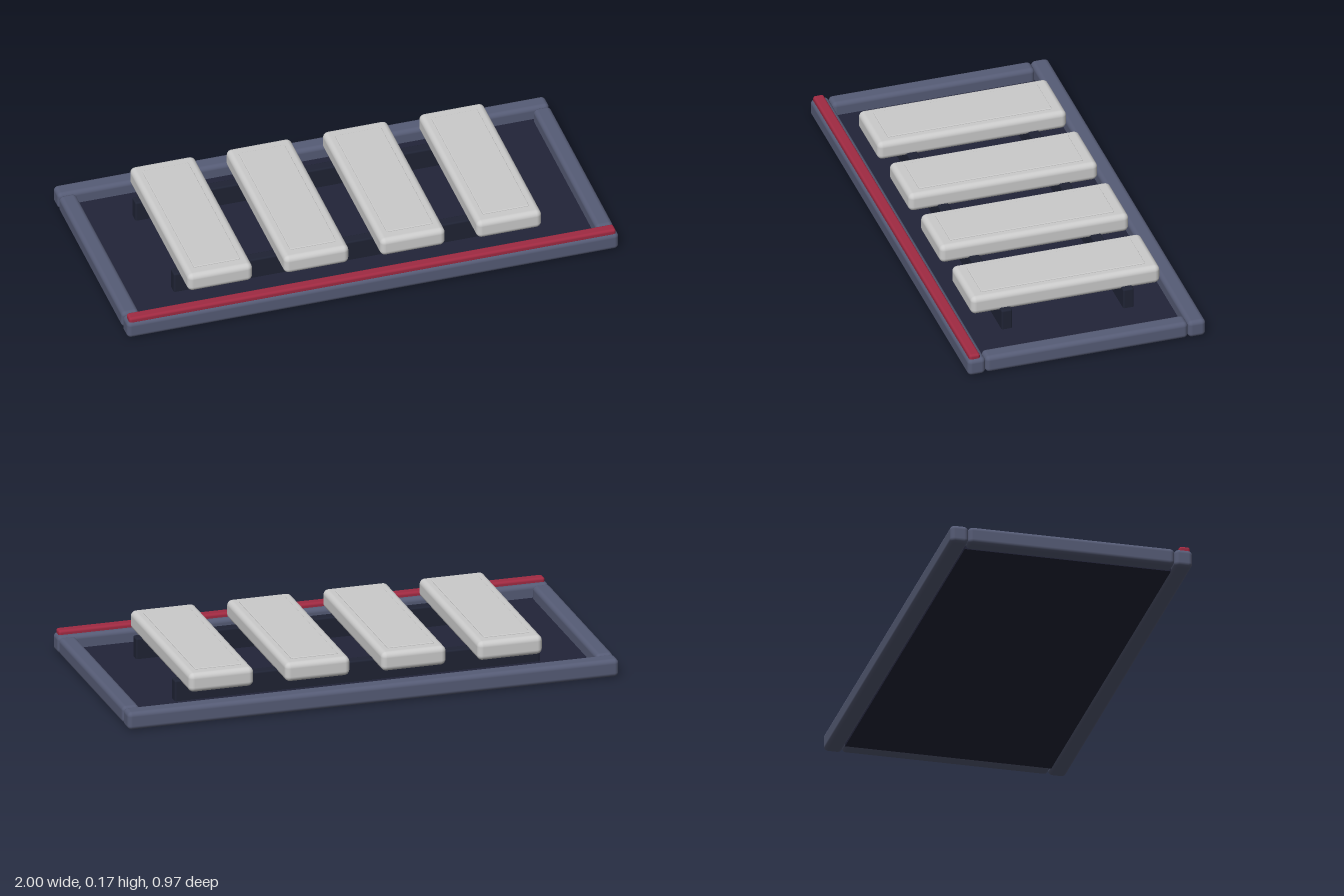
import * as THREE from 'three';
import { RoundedBoxGeometry } from 'three/addons/geometries/RoundedBoxGeometry.js';

const material = (color) => new THREE.MeshStandardMaterial({ color });

// Rounded box given by its extents on each axis
function block(name, [x0, x1], [y0, y1], [z0, z1], radius, mat) {
  const geometry = new RoundedBoxGeometry(x1 - x0, y1 - y0, z1 - z0, 4, radius);
  const mesh = new THREE.Mesh(geometry, mat);
  mesh.name = name;
  mesh.position.set((x0 + x1) / 2, (y0 + y1) / 2, (z0 + z1) / 2);
  return mesh;
}

export function createModel() {
  const model = new THREE.Group();
  model.name = 'padTray';
  const frame = material(0x565c76);
  const dark = material(0x222438);
  const railDark = material(0x1f2334);
  const red = material(0xa02a42);
  const grey = material(0xcccccc);

  // Floor panel inside the frame
  const floor = new THREE.Mesh(new THREE.BoxGeometry(1.87, 0.017, 0.826), dark);
  floor.name = 'floorPanel';
  floor.position.y = 0.0115;
  model.add(floor);

  // Frame bars
  model.add(block('frontBar', [-1, 1], [0, 0.073], [0.413, 0.485], 0.018, frame));
  model.add(block('backBar', [-1, 1], [0, 0.073], [-0.485, -0.413], 0.018, frame));
  model.add(block('leftBar', [0.93, 1], [0.002, 0.073], [-0.413, 0.413], 0.018, frame));
  model.add(block('rightBar', [-1, -0.93], [0.002, 0.073], [-0.413, 0.413], 0.018, frame));

  // Red strip along the front bar
  model.add(block('frontStrip', [-0.99, 0.99], [0.062, 0.09], [0.433, 0.477], 0.01, red));

  // Cross rails carrying the pads
  for (const [name, z] of [['frontRail', 0.244], ['backRail', -0.252]]) {
    model.add(block(name, [-0.743, 0.743], [0.012, 0.105], [z - 0.022, z + 0.022], 0.007, railDark));
  }

  // Four pads, each with a slightly raised panel on top
  for (let i = 0; i < 4; i++) {
    const x = (i - 1.5) * 0.392;
    const pad = new THREE.Group();
    pad.name = `pad${i + 1}`;
    pad.add(block('padBody', [x - 0.132, x + 0.132], [0.09, 0.168], [-0.39, 0.381], 0.022, grey));
    pad.add(block('padPanel', [x - 0.094, x + 0.094], [0.155, 0.172], [-0.339, 0.33], 0.003, grey));
    model.add(pad);
  }
  return model;
}
